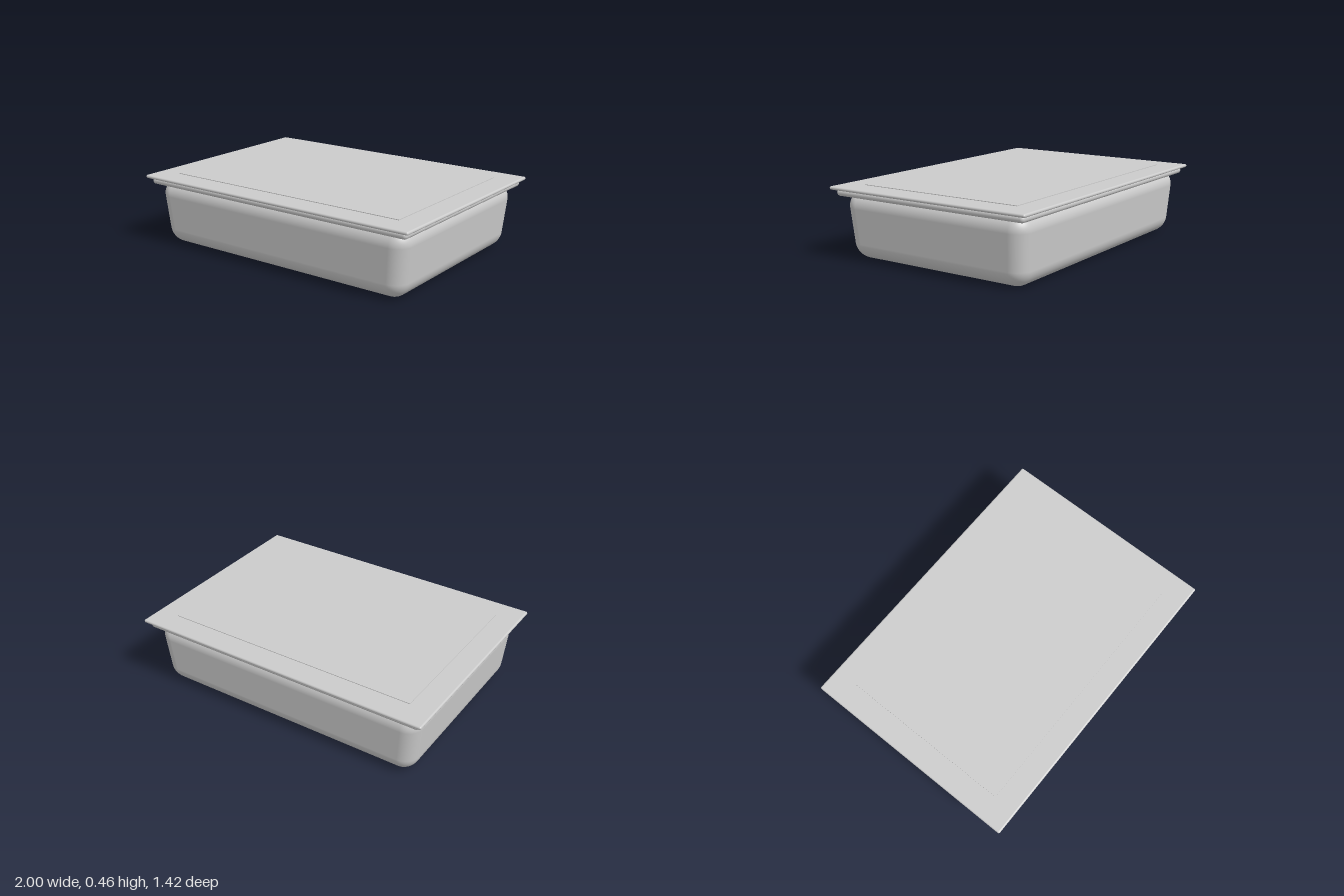
import * as THREE from 'three';
import { RoundedBoxGeometry } from 'three/addons/geometries/RoundedBoxGeometry.js';

const material = new THREE.MeshStandardMaterial({ color: 0xcccccc });

// Rounded slab spanning y0..y1, centred on x and z
function slab(name, width, depth, y0, y1, radius, segments = 5) {
  const geometry = new RoundedBoxGeometry(width, y1 - y0, depth, segments, radius);
  geometry.translate(0, (y0 + y1) / 2, 0);
  const mesh = new THREE.Mesh(geometry, material);
  mesh.name = name;
  return mesh;
}

// Narrow the slab towards its base, tilting the normals to match
function taper(geometry, pivotY, rate) {
  const p = geometry.attributes.position;
  const n = geometry.attributes.normal;
  const v = new THREE.Vector3();
  for (let i = 0; i < p.count; i++) {
    const x = p.getX(i), y = p.getY(i), z = p.getZ(i);
    const s = 1 + rate * (y - pivotY);
    v.set(n.getX(i) / s, 0, n.getZ(i) / s);
    v.y = n.getY(i) - (rate * (x * n.getX(i) + z * n.getZ(i))) / s;
    v.normalize();
    n.setXYZ(i, v.x, v.y, v.z);
    p.setXYZ(i, x * s, y, z * s);
  }
}

export function createModel() {
  const group = new THREE.Group();
  group.name = 'liddedContainer';

  // Deep tub with soft corners and sloping walls
  const tub = slab('tub', 1.886, 1.32, 0, 0.42, 0.1, 8);
  taper(tub.geometry, 0.345, 0.104);

  // Rim under the lid, then the lid plate
  const rim = slab('rim', 1.944, 1.37, 0.395, 0.438, 0.021);
  const lid = slab('lid', 2, 1.424, 0.435, 0.456, 0.0104);

  // Thin raised panel on top of the lid
  const panel = new THREE.Mesh(new THREE.BoxGeometry(1.694, 0.012, 1.12), material);
  panel.name = 'lidPanel';
  panel.position.y = 0.454;

  group.add(tub, rim, lid, panel);
  return group;
}
